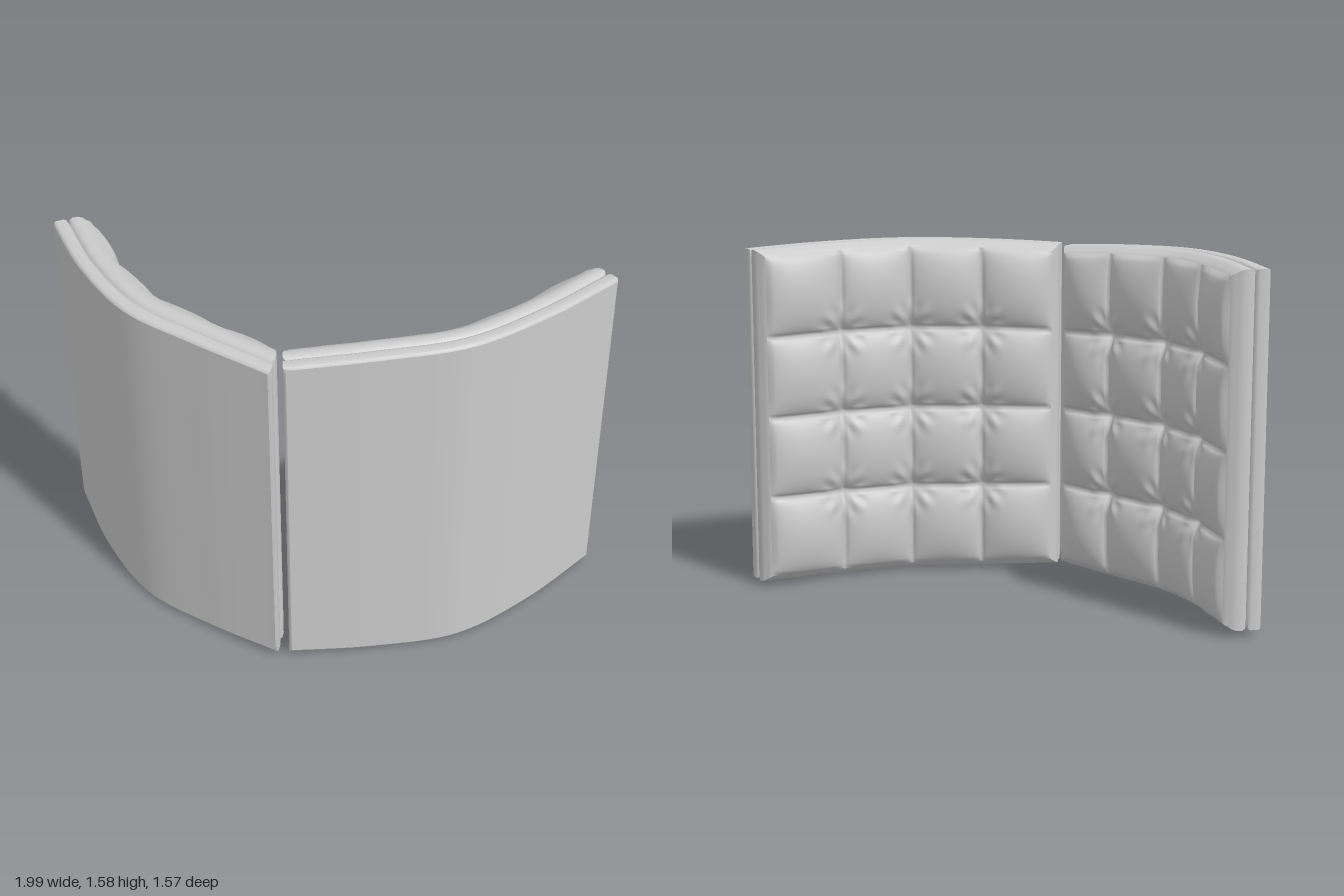
import * as THREE from 'three';
import { ParametricGeometry } from 'three/addons/geometries/ParametricGeometry.js';
import { toCreasedNormals } from 'three/addons/utils/BufferGeometryUtils.js';

const LENGTH = 1.5, MID_Y = 0.788, THICK = 0.165;
// Edge moulding: [depth from outer face 0 to inner face 1, inset from the edge]
const EDGE = [[0, 0.012], [0.03, 0.003], [0.08, 0], [0.3, 0], [0.36, 0.004], [0.4, 0.014], [0.44, 0.006],
  [0.52, 0], [0.68, 0.001], [0.8, 0.008], [0.88, 0.018], [0.94, 0.022], [1, 0.032]];

const curve = (pts) => new THREE.CatmullRomCurve3(pts.map(([x, z]) => new THREE.Vector3(x, 0, z)));
const material = () => new THREE.MeshStandardMaterial({ color: 0xcccccc, side: THREE.DoubleSide });

// Height of the tufted padding over a 4 x 4 grid of cells
function padHeight(u, v) {
  const a = u * 4, b = v * 4;
  const sa = Math.abs(Math.sin(Math.PI * a)), sb = Math.abs(Math.sin(Math.PI * b));
  let h = 0.066 * Math.pow(sa, 0.5) * Math.pow(sb, 0.45);
  const na = Math.round(a), nb = Math.round(b);
  if (na > 0 && na < 4 && nb > 0 && nb < 4) {
    // Buttons pull the padding in, with soft pleats radiating from them
    const da = a - na, db = b - nb, r = Math.hypot(da, db);
    h -= 0.022 * Math.exp(-((r / 0.12) ** 2));
    h += 0.006 * Math.cos(8 * Math.atan2(db, da)) * Math.exp(-(((r - 0.25) / 0.1) ** 2));
  }
  return h;
}

function buildPanel(name, outerPts, innerPts, halfHeight) {
  const outer = curve(outerPts), inner = curve(innerPts);
  const p = new THREE.Vector3(), q = new THREE.Vector3();

  // u along the panel, v up, t through its thickness
  const place = (u, v, t, inset, target) => {
    const k = inset / LENGTH;
    const s = THREE.MathUtils.clamp(k + u * (1 - 2 * k), 0, 1);
    outer.getPoint(s, p);
    inner.getPoint(s, q);
    const half = halfHeight - 0.022 * (2 * s - 1) ** 2 - inset;
    target.lerpVectors(p, q, t);
    target.y = MID_Y + (2 * v - 1) * half;
  };

  const panel = new THREE.Group();
  panel.name = name;
  const add = (part, geometry) => {
    const mesh = new THREE.Mesh(geometry, material());
    mesh.name = part;
    panel.add(mesh);
  };

  // Smooth outer face
  add('outerShell', new ParametricGeometry((u, v, out) => place(u, v, 0, EDGE[0][1], out), 40, 4));

  // Moulded rim running around all four edges
  const corners = [[0, 0], [0, 1], [1, 1], [1, 0], [0, 0]];
  const rim = new ParametricGeometry((a, b, out) => {
    const side = Math.min(3, Math.floor(a * 4 + 1e-6)), f = a * 4 - side;
    const [c, d] = [corners[side], corners[side + 1]];
    const [t, inset] = EDGE[Math.round(b * (EDGE.length - 1))];
    place(c[0] + (d[0] - c[0]) * f, c[1] + (d[1] - c[1]) * f, t, inset, out);
  }, 160, EDGE.length - 1);
  rim.deleteAttribute('uv');
  add('rim', toCreasedNormals(rim, 0.9));

  // Tufted padding on the inner face
  const pad = new ParametricGeometry((u, v, out) =>
    place(1 - u, v, 1 + padHeight(1 - u, v) / THICK, EDGE[EDGE.length - 1][1], out), 112, 112);
  pad.computeVertexNormals();
  add('tuftedPadding', pad);
  return panel;
}

export function createModel() {
  const model = new THREE.Group();
  model.name = 'paddedScreen';
  model.add(
    buildPanel('frontPanel',
      [[-0.5, 0.605], [-0.14, 0.715], [0.22, 0.787], [0.6, 0.725], [0.997, 0.595]],
      [[-0.44, 0.455], [-0.11, 0.555], [0.23, 0.625], [0.58, 0.565], [0.95, 0.44]], 0.788),
    buildPanel('sidePanel',
      [[-0.99, -0.785], [-0.995, -0.38], [-0.93, 0], [-0.76, 0.295], [-0.55, 0.597]],
      [[-0.825, -0.785], [-0.835, -0.42], [-0.775, -0.09], [-0.61, 0.205], [-0.445, 0.445]], 0.779),
  );
  return model;
}
